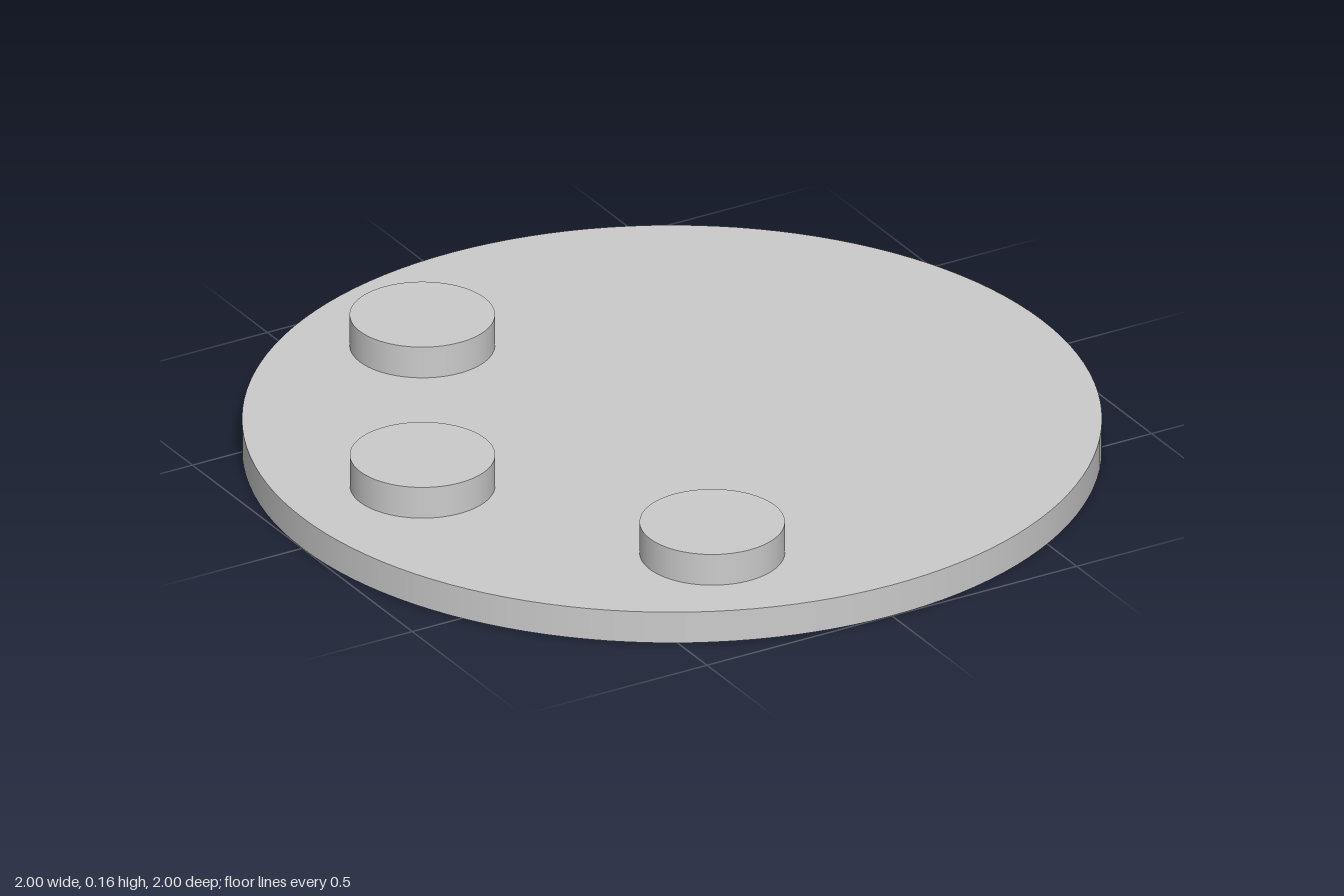
import * as THREE from 'three';

const PLATE_HEIGHT = 0.08;
const KNOB_HEIGHT = 0.08;

export function createModel() {
  const model = new THREE.Group();
  const material = new THREE.MeshStandardMaterial({ color: 0xcccccc });

  // Upright disc standing on the given height
  const addDisc = (name, radius, height, x, base, z) => {
    const disc = new THREE.Mesh(new THREE.CylinderGeometry(radius, radius, height, 128), material);
    disc.name = name;
    disc.position.set(x, base + height / 2, z);
    model.add(disc);
  };

  // Round base plate
  addDisc('basePlate', 1, PLATE_HEIGHT, 0, 0, 0);

  // Three raised knobs on the right half of the plate
  const knobs = [
    ['backKnob', -0.305, -0.623],
    ['middleKnob', -0.675, 0],
    ['frontKnob', -0.273, 0.642],
  ];
  for (const [name, x, z] of knobs) addDisc(name, 0.169, KNOB_HEIGHT, x, PLATE_HEIGHT, z);

  return model;
}
